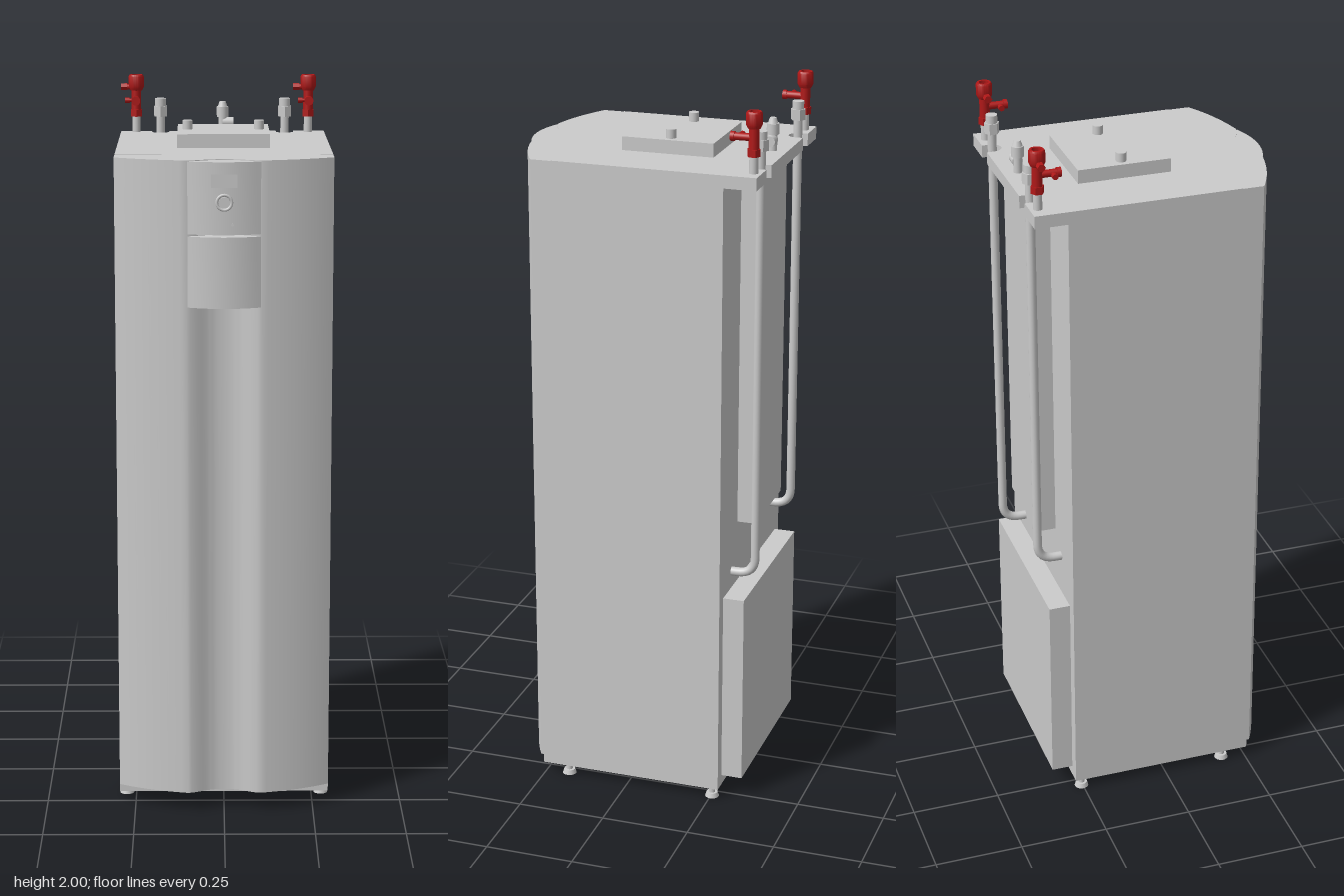
import * as THREE from 'three';
import { toCreasedNormals } from 'three/addons/utils/BufferGeometryUtils.js';

const grey = new THREE.MeshStandardMaterial({ color: 0xcccccc });
const red = new THREE.MeshStandardMaterial({ color: 0xb01818 });

export function createModel() {
  const root = new THREE.Group();

  function add(name, geo, mat = grey, parent = root) {
    const m = new THREE.Mesh(geo, mat);
    m.name = name;
    parent.add(m);
    return m;
  }
  // box given by its limits on each axis
  function box(name, x0, x1, y0, y1, z0, z1) {
    const g = new THREE.BoxGeometry(x1 - x0, y1 - y0, z1 - z0);
    g.translate((x0 + x1) / 2, (y0 + y1) / 2, (z0 + z1) / 2);
    return add(name, g);
  }
  // cylinder between two points
  function rod(name, a, b, r, mat = grey, parent = root, sides = 20, r2 = r) {
    const p = new THREE.Vector3(...a), q = new THREE.Vector3(...b);
    const d = q.clone().sub(p);
    const g = new THREE.CylinderGeometry(r2, r, d.length(), sides);
    const m = add(name, sides < 8 ? toCreasedNormals(g, 0.5) : g, mat, parent);
    m.position.copy(p).add(q).multiplyScalar(0.5);
    m.quaternion.setFromUnitVectors(new THREE.Vector3(0, 1, 0), d.normalize());
    return m;
  }
  // plan outline (drawn with y = -z) raised from y0 to y1
  function slab(name, shape, y0, y1) {
    const g = new THREE.ExtrudeGeometry(shape, { depth: y1 - y0, bevelEnabled: false, curveSegments: 12 });
    g.rotateX(-Math.PI / 2);
    g.translate(0, y0, 0);
    return add(name, toCreasedNormals(g, 0.5));
  }

  // Cabinet and base
  box('cabinet', -0.295, 0.295, 0.055, 1.835, -0.275, 0.205);
  box('base', -0.295, 0.295, 0.03, 0.055, -0.275, 0.255);

  // Front door: bowed, with a shallow channel down the middle
  const door = new THREE.Shape();
  door.moveTo(0.295, -0.205);
  door.lineTo(-0.295, -0.205);
  door.lineTo(-0.295, -0.263);
  door.quadraticCurveTo(-0.21, -0.313, -0.1, -0.333);
  door.bezierCurveTo(-0.06, -0.325, -0.05, -0.303, 0, -0.303);
  door.bezierCurveTo(0.05, -0.303, 0.06, -0.325, 0.1, -0.333);
  door.quadraticCurveTo(0.21, -0.313, 0.295, -0.263);
  slab('door', door, 0.055, 1.834);

  // Control panel in two curved covers
  function cover(name, front, y0, y1) {
    const s = new THREE.Shape();
    s.moveTo(0.098, -0.295);
    s.lineTo(-0.098, -0.295);
    s.lineTo(-0.098, -0.336);
    s.quadraticCurveTo(0, 0.336 - 2 * front, 0.098, -0.336);
    slab(name, s, y0, y1);
  }
  cover('controlPanel', 0.355, 1.638, 1.832);
  cover('controlFlap', 0.358, 1.44, 1.632);
  box('display', -0.035, 0.035, 1.765, 1.8, 0.34, 0.357);
  rod('knob', [0, 1.725, 0.345], [0, 1.725, 0.362], 0.015);
  const ring = add('knobRing', new THREE.TorusGeometry(0.02, 0.004, 8, 24));
  ring.position.set(0, 1.725, 0.355);
  rod('indicator', [0.022, 1.665, 0.345], [0.022, 1.665, 0.356], 0.004, grey, root, 10);

  // Rear top ledge with a rounded notch for each pipe
  const ledge = new THREE.Shape();
  ledge.moveTo(-0.295, 0.275);
  ledge.lineTo(0.295, 0.275);
  ledge.lineTo(0.295, 0.365);
  for (const x of [0.18, -0.18]) {
    ledge.lineTo(x + 0.025, 0.365);
    ledge.lineTo(x + 0.025, 0.343);
    ledge.absarc(x, 0.343, 0.025, 0, -Math.PI, true);
    ledge.lineTo(x - 0.025, 0.365);
  }
  ledge.lineTo(-0.295, 0.365);
  slab('rearLedge', ledge, 1.8, 1.835);

  // Raised panels on the back
  box('rearLowerPanel', -0.26, 0.26, 0.06, 0.615, -0.335, -0.275);
  box('rearDuct', -0.13, 0.13, 0.795, 1.8, -0.327, -0.275);

  // Cover plate on top with two stubs
  box('topCover', -0.128, 0.128, 1.835, 1.873, -0.196, 0.062);
  for (const x of [-0.1, 0.1]) rod('topStub', [x, 1.873, -0.068], [x, 1.898, -0.068], 0.014);

  // Drain fitting at the rear centre
  rod('fittingStem', [0, 1.835, -0.323], [0, 1.9, -0.323], 0.012);
  rod('fittingCollar', [0, 1.88, -0.323], [0, 1.91, -0.323], 0.017);
  rod('fittingCap', [0, 1.91, -0.323], [0, 1.925, -0.323], 0.014, grey, root, 20, 0.009);
  rod('fittingBranch', [0, 1.865, -0.323], [0.032, 1.865, -0.323], 0.015);

  // Rear pipes bending into the cabinet, with hex nuts on top
  for (const [x, low] of [[0.18, 0.665], [-0.18, 0.735]]) {
    const path = new THREE.CurvePath();
    const v = (y, z) => new THREE.Vector3(x, y, z);
    path.add(new THREE.LineCurve3(v(1.91, -0.343), v(low + 0.05, -0.343)));
    path.add(new THREE.QuadraticBezierCurve3(v(low + 0.05, -0.343), v(low, -0.343), v(low, -0.293)));
    path.add(new THREE.LineCurve3(v(low, -0.293), v(low, -0.27)));
    add('rearPipe', new THREE.TubeGeometry(path, 120, 0.0125, 14));
    rod('pipeNut', [x, 1.88, -0.343], [x, 1.91, -0.343], 0.021, grey, root, 6);
    rod('pipeEnd', [x, 1.91, -0.343], [x, 1.932, -0.343], 0.016);
  }

  // Red valves on grey stems
  for (const x of [-0.25, 0.248]) {
    const valve = new THREE.Group();
    valve.name = 'valve';
    valve.position.set(x, 0, -0.343);
    root.add(valve);
    rod('valveStem', [0, 1.835, 0], [0, 1.89, 0], 0.012, grey, valve);
    rod('valveNut', [0, 1.88, 0], [0, 1.9, 0], 0.018, red, valve, 6);
    rod('valveBody', [0, 1.9, 0], [0, 1.965, 0], 0.014, red, valve);
    // open collar at the top
    const profile = [[0.012, 1.955], [0.017, 1.955], [0.022, 1.965], [0.022, 1.995], [0.019, 2], [0.013, 2], [0.013, 1.962]];
    add('valveCollar', toCreasedNormals(new THREE.LatheGeometry(profile.map(p => new THREE.Vector2(...p)), 24), 0.6),
      new THREE.MeshStandardMaterial({ color: 0xb01818, side: THREE.DoubleSide }), valve);
    // side outlet
    rod('valveOutlet', [-0.01, 1.965, 0], [-0.035, 1.965, 0], 0.008, red, valve);
    rod('valveOutletCap', [-0.026, 1.965, 0], [-0.044, 1.965, 0], 0.011, red, valve, 6);
    // forward arm with its small test knob
    rod('valveArm', [0, 1.93, 0], [0, 1.93, 0.055], 0.01, red, valve);
    rod('valveArmCap', [0, 1.93, 0.052], [0, 1.93, 0.063], 0.013, red, valve);
    rod('testStem', [0, 1.93, 0.04], [-0.022, 1.93, 0.04], 0.005, red, valve, 12);
    rod('testKnob', [-0.018, 1.93, 0.04], [-0.031, 1.93, 0.04], 0.008, red, valve, 12);
  }

  // Levelling feet
  for (const x of [-0.277, 0.277]) for (const z of [0.182, -0.253]) {
    rod('footStem', [x, 0.008, z], [x, 0.032, z], 0.009, grey, root, 14);
    rod('footPad', [x, 0, z], [x, 0.013, z], 0.02, grey, root, 20, 0.016);
  }

  return root;
}
